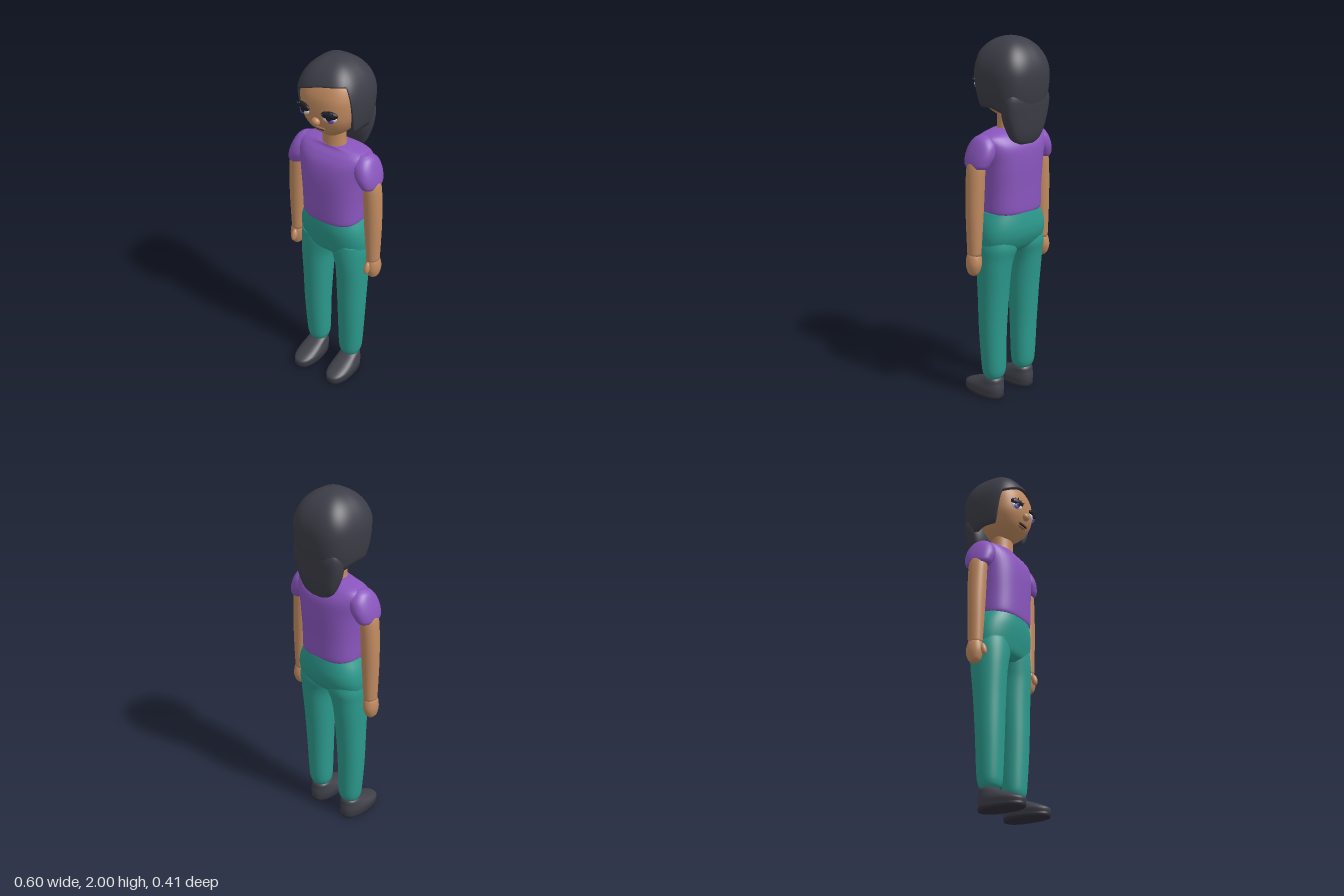
import * as THREE from 'three';

const mat = (name, color) => Object.assign(new THREE.MeshStandardMaterial({ color }), { name });

// Closed-around grid of vertices, rows running from bottom to top
function skinGrid(rows, cols, at) {
  const pos = [], idx = [];
  for (let j = 0; j < rows; j++)
    for (let i = 0; i < cols; i++) pos.push(...at(j, (i / cols) * Math.PI * 2));
  for (let j = 0; j < rows - 1; j++)
    for (let i = 0; i < cols; i++) {
      const a = j * cols + i, b = j * cols + ((i + 1) % cols);
      idx.push(a, a + cols, b, b, a + cols, b + cols);
    }
  const g = new THREE.BufferGeometry();
  g.setAttribute('position', new THREE.Float32BufferAttribute(pos, 3));
  g.setIndex(idx);
  g.computeVertexNormals();
  return g;
}

const sp = (v, n) => Math.sign(v) * Math.pow(Math.abs(v), 2 / n);

// Smooth loft through rings [y, centreX, halfWidth, zBack, zFront], closed at both ends
function loft(rings, n = 2.3, side = 1, cols = 40) {
  const mid = new THREE.CatmullRomCurve3(
    rings.map(r => new THREE.Vector3(r[1] * side, r[0], (r[3] + r[4]) / 2)), false, 'catmullrom');
  const size = new THREE.CatmullRomCurve3(
    rings.map(r => new THREE.Vector3(r[2], 0, (r[4] - r[3]) / 2)), false, 'catmullrom');
  const steps = (rings.length - 1) * 5;
  return skinGrid(steps + 3, cols, (j, a) => {
    const t = THREE.MathUtils.clamp((j - 1) / steps, 0, 1);
    const c = mid.getPoint(t), s = size.getPoint(t);
    const k = j === 0 || j === steps + 2 ? 0 : 1;
    return [c.x + k * s.x * sp(Math.cos(a), n), c.y, c.z + k * s.z * sp(Math.sin(a), n)];
  });
}

// Hair cap: each column runs from its own hairline height up to the crown
function hairCap() {
  const { smoothstep, lerp } = THREE.MathUtils;
  const rows = 26;
  return skinGrid(rows, 144, (j, a) => {
    const x = 0.18 * sp(Math.cos(a), 2.8), z = 0.185 * sp(Math.sin(a), 2.8);
    const fringe = 1.89 + 0.25 * x - 1.0 * x * x;
    const low = 1.64 - 0.03 * smoothstep(-z, 0, 0.15);
    const bottom = lerp(low, fringe, smoothstep(z, 0.075, 0.125));
    const t = Math.max(0, j - 1) / (rows - 2);
    const start = Math.acos(THREE.MathUtils.clamp((bottom - 1.8) / (bottom > 1.8 ? 0.2 : 0.34), -1, 1));
    const phi = start * (1 - t);
    const y = 1.8 + Math.cos(phi) * (phi < Math.PI / 2 ? 0.2 : 0.34);
    const s = Math.sin(phi) * (j === 0 ? 0.86 : 1);
    return [x * s, y, z * s - 0.02];
  });
}

export function createModel() {
  const skin = mat('skin', 0xc08a60), hair = mat('hair', 0x3d3d48), shirt = mat('shirt', 0x8a56be);
  const trousers = mat('trousers', 0x2c9a8d), shoe = mat('shoe', 0x40404a), sole = mat('sole', 0x30303a);
  const dark = mat('lash', 0x1d1f28), white = mat('eye white', 0xe4e0da);
  const iris = mat('iris', 0x7548b8), lip = mat('lip', 0x9a6a4a);

  const model = new THREE.Group();
  const add = (name, geo, m, parent = model) => {
    const mesh = new THREE.Mesh(geo, m);
    mesh.name = name;
    parent.add(mesh);
    return mesh;
  };
  const blob = (name, m, p, s, parent = model) => {
    const mesh = add(name, new THREE.SphereGeometry(1, 24, 16), m, parent);
    mesh.position.set(...p);
    mesh.scale.set(...s);
    return mesh;
  };

  // Head, hair and neck
  add('head', loft([
    [1.585, 0, 0.045, -0.05, 0.065], [1.62, 0, 0.092, -0.09, 0.103], [1.66, 0, 0.126, -0.12, 0.133],
    [1.72, 0, 0.154, -0.14, 0.154], [1.8, 0, 0.164, -0.15, 0.155], [1.85, 0, 0.158, -0.15, 0.145],
    [1.9, 0, 0.138, -0.13, 0.12], [1.94, 0, 0.1, -0.1, 0.08]], 2.5), skin);
  add('hairCap', hairCap(), hair);
  add('hairLength', loft([
    [1.45, 0, 0.05, -0.15, -0.115], [1.47, 0, 0.09, -0.16, -0.095], [1.52, 0, 0.12, -0.174, -0.075],
    [1.6, 0, 0.146, -0.184, -0.06], [1.68, 0, 0.152, -0.19, -0.07], [1.73, 0, 0.13, -0.18, -0.11]], 2.8), hair);
  add('neck', loft([
    [1.48, 0, 0.075, -0.06, 0.06], [1.53, 0, 0.066, -0.055, 0.055], [1.64, 0, 0.064, -0.055, 0.055]], 2), skin);

  // Face
  blob('nose', skin, [0, 1.705, 0.157], [0.024, 0.023, 0.02]);
  blob('upperLip', lip, [0, 1.665, 0.136], [0.042, 0.007, 0.009]);
  blob('lowerLip', lip, [0, 1.648, 0.128], [0.034, 0.007, 0.008]);
  blob('mouthLine', dark, [0, 1.656, 0.136], [0.04, 0.002, 0.006]);
  for (const s of [-1, 1]) {
    const eye = new THREE.Group();
    eye.name = s > 0 ? 'leftEye' : 'rightEye';
    eye.position.set(0.078 * s, 1.75, 0.146);
    eye.rotation.y = 0.28 * s;
    model.add(eye);
    blob('eyeWhite', white, [0, -0.004, 0], [0.038, 0.024, 0.012], eye);
    blob('iris', iris, [0.008 * s, -0.014, 0.008], [0.017, 0.016, 0.007], eye);
    blob('pupil', dark, [0, 0, 0.011], [0.016, 0.017, 0.006], eye);
    blob('eyelid', dark, [0, 0.014, 0.004], [0.045, 0.021, 0.015], eye);
    for (let i = -2; i <= 2; i++) {
      const lash = add('lash', new THREE.ConeGeometry(0.009, 0.028, 8), dark, eye);
      lash.position.set(i * 0.018, 0.03 - Math.abs(i) * 0.007, 0.011);
      lash.rotation.set(0.5, 0, -i * 0.35);
    }
  }

  // Shirt
  add('shirtBody', loft([
    [1.075, 0, 0.17, -0.142, 0.122], [1.1, 0, 0.175, -0.147, 0.127], [1.2, 0, 0.176, -0.148, 0.13],
    [1.34, 0, 0.187, -0.152, 0.131], [1.43, 0, 0.204, -0.146, 0.116], [1.48, 0, 0.208, -0.118, 0.086],
    [1.505, 0, 0.175, -0.09, 0.06], [1.52, 0, 0.09, -0.062, 0.055]], 2.6), shirt);

  // Trousers: hips plus two legs
  add('hips', loft([
    [0.845, 0, 0.15, -0.07, 0.06], [0.875, 0, 0.195, -0.112, 0.09], [0.93, 0, 0.208, -0.142, 0.105],
    [0.98, 0, 0.207, -0.152, 0.115], [1.03, 0, 0.195, -0.15, 0.121], [1.085, 0, 0.171, -0.142, 0.121]], 2.4), trousers);

  for (const s of [-1, 1]) {
    const side = s > 0 ? 'left' : 'right';
    add(side + 'Leg', loft([
      [0.115, 0.115, 0.045, -0.045, 0.042], [0.14, 0.114, 0.06, -0.06, 0.057], [0.2, 0.115, 0.068, -0.068, 0.064],
      [0.4, 0.119, 0.076, -0.074, 0.074], [0.6, 0.118, 0.083, -0.088, 0.08], [0.75, 0.117, 0.089, -0.104, 0.088],
      [0.82, 0.11, 0.097, -0.113, 0.092], [0.88, 0.1, 0.108, -0.125, 0.093], [0.93, 0.1, 0.1, -0.12, 0.09]], 2.2, s), trousers);
    add(side + 'Sleeve', loft([
      [1.335, 0.233, 0.041, -0.072, 0.064], [1.355, 0.229, 0.049, -0.084, 0.075], [1.4, 0.212, 0.058, -0.096, 0.082],
      [1.45, 0.196, 0.056, -0.09, 0.07], [1.485, 0.18, 0.052, -0.065, 0.045], [1.502, 0.165, 0.04, -0.04, 0.02]], 2.3, s), shirt);
    add(side + 'Arm', loft([
      [0.86, 0.256, 0.034, -0.042, 0.036], [0.95, 0.254, 0.039, -0.046, 0.04], [1.1, 0.25, 0.047, -0.05, 0.045],
      [1.25, 0.244, 0.049, -0.053, 0.048], [1.34, 0.238, 0.046, -0.052, 0.048], [1.38, 0.232, 0.035, -0.04, 0.035]], 2.1, s), skin);
    add(side + 'Hand', loft([
      [0.752, 0.262, 0.015, -0.02, 0.018], [0.77, 0.262, 0.029, -0.037, 0.032], [0.81, 0.261, 0.038, -0.05, 0.042],
      [0.85, 0.258, 0.038, -0.046, 0.04], [0.877, 0.256, 0.03, -0.036, 0.032]], 2.1, s), skin);
    const thumb = blob(side + 'Thumb', skin, [0.25 * s, 0.825, 0.044], [0.017, 0.036, 0.018]);
    thumb.rotation.x = -0.3;

    // Shoe
    add(side + 'Shoe', loft([
      [0.02, 0.117, 0.064, -0.06, 0.203], [0.045, 0.117, 0.069, -0.063, 0.203], [0.065, 0.117, 0.066, -0.062, 0.165],
      [0.085, 0.116, 0.06, -0.058, 0.112], [0.107, 0.115, 0.053, -0.054, 0.058], [0.122, 0.115, 0.04, -0.042, 0.035]], 2.3, s), shoe);
    add(side + 'Sole', loft([
      [0, 0.117, 0.064, -0.058, 0.2], [0.01, 0.117, 0.068, -0.062, 0.205], [0.022, 0.117, 0.066, -0.061, 0.204]], 2.3, s), sole);
  }
  return model;
}
